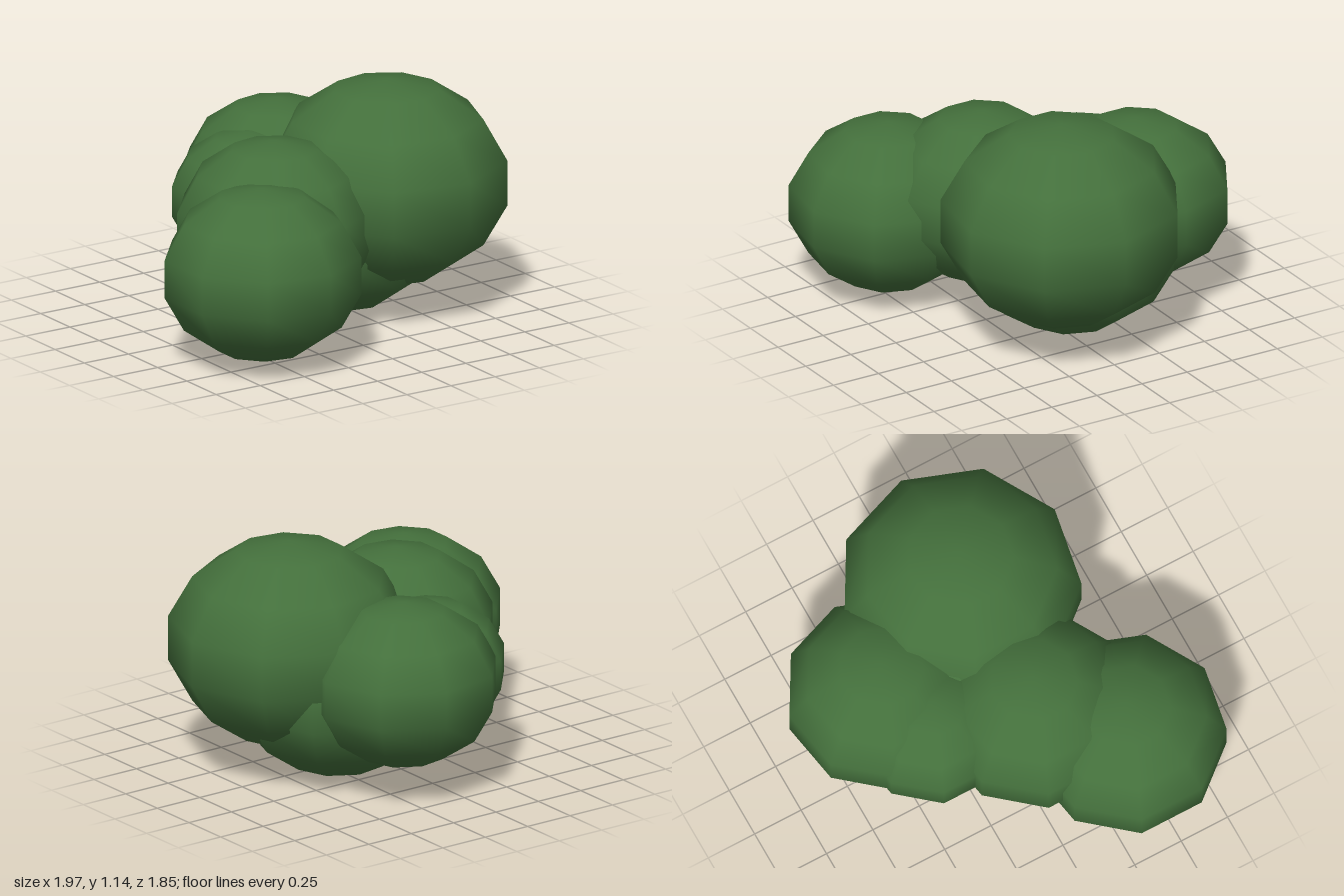
import * as THREE from 'three';

// Each clump: name, centre [x, y, z], horizontal radius, vertical radius
const CLUMPS = [
  ['largeClump', [0.41, 0.64, 0.08], 0.59, 0.5],
  ['frontClump', [-0.545, 0.447, 0.455], 0.485, 0.418],
  ['middleClump', [-0.25, 0.535, 0.116], 0.484, 0.425],
  ['backClump', [0.16, 0.54, -0.48], 0.47, 0.4],
  ['smallClump', [-0.093, 0.53, -0.345], 0.38, 0.325],
  ['lowClump', [0.24, 0.455, -0.07], 0.53, 0.455],
];

export function createModel() {
  const bush = new THREE.Group();
  bush.name = 'bush';
  const foliage = new THREE.MeshStandardMaterial({ color: 0x44703c });

  // Coarse nine-sided sphere with a corner on +x, smooth normals
  const ball = new THREE.SphereGeometry(1, 9, 7, Math.PI);

  // Overlapping squashed balls of foliage
  for (const [name, centre, radius, height] of CLUMPS) {
    const clump = new THREE.Mesh(ball, foliage);
    clump.name = name;
    clump.position.set(...centre);
    clump.scale.set(radius, height, radius);
    bush.add(clump);
  }
  return bush;
}
